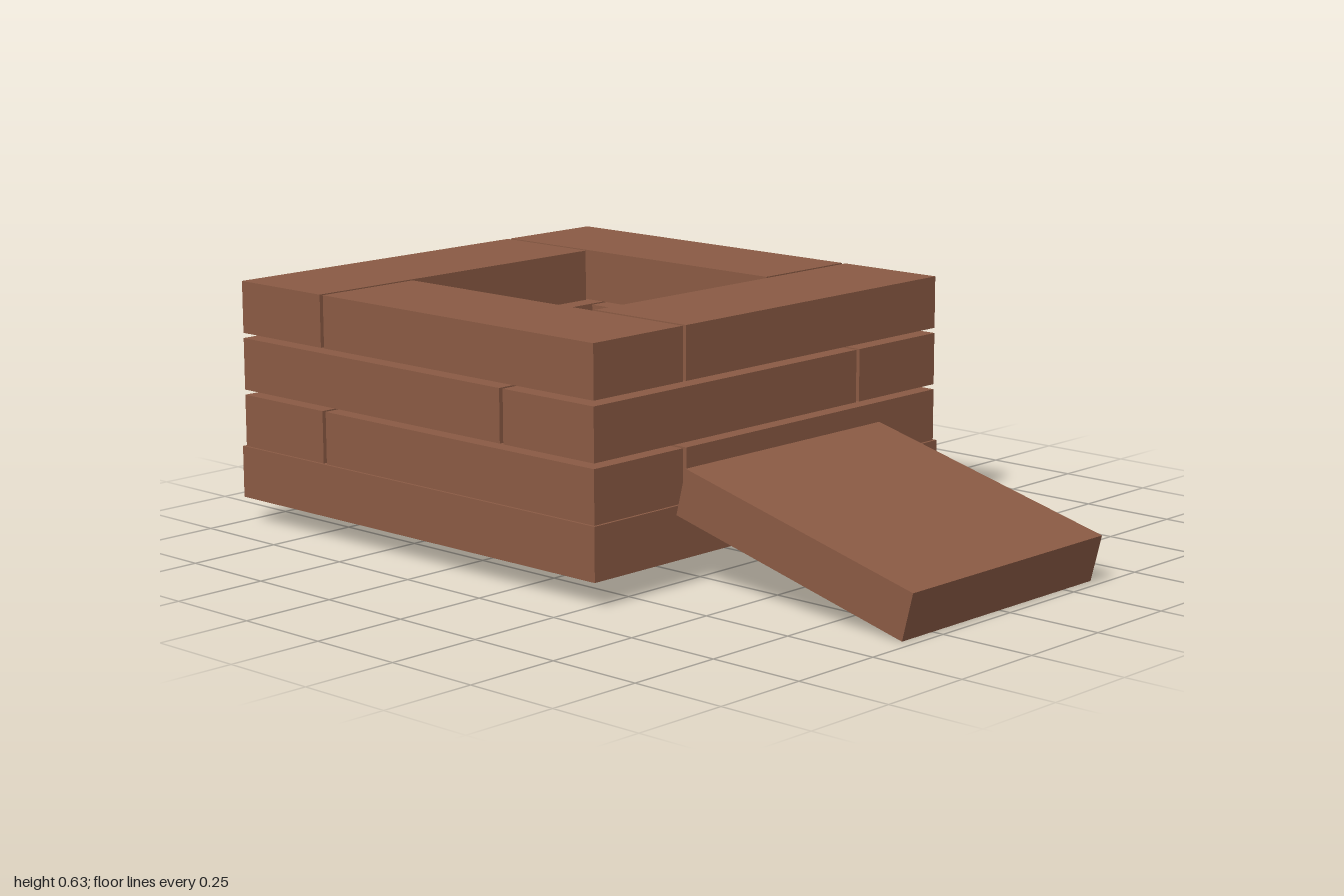
import * as THREE from 'three';

function material(name, color) {
  const m = new THREE.MeshStandardMaterial({ color });
  m.name = name;
  return m;
}

export function createModel() {
  const brick = material('brick', 0x8a5a44);
  const sand = material('sand', 0xa08d6a);
  const charcoal = material('charcoal', 0x222222);

  const model = new THREE.Group();
  model.name = 'brickFirePit';

  function box(parent, name, mat, [w, h, d], [x, y, z]) {
    const mesh = new THREE.Mesh(new THREE.BoxGeometry(w, h, d), mat);
    mesh.name = name;
    mesh.position.set(x, y, z);
    parent.add(mesh);
    return mesh;
  }

  // Square pit, set back from the ramp
  const pit = new THREE.Group();
  pit.name = 'pit';
  pit.position.z = -0.364;
  model.add(pit);

  box(pit, 'baseSlab', brick, [1.272, 0.135, 1.272], [0, 0.1325, 0]);

  // Three courses of four bricks in a pinwheel, alternating direction
  const half = 0.629, length = 0.944, width = 0.302, height = 0.135;
  const sides = ['front', 'left', 'back', 'right'];
  for (let course = 0; course < 3; course++) {
    const group = new THREE.Group();
    group.name = 'course' + (course + 1);
    group.position.y = 0.2 + height / 2 + course * 0.1485;
    pit.add(group);
    const shift = (half - length / 2) * (course % 2 ? -1 : 1);
    sides.forEach((side, i) => {
      const arm = new THREE.Group();
      arm.name = side + 'Side';
      arm.rotation.y = i * Math.PI / 2;
      group.add(arm);
      box(arm, side + 'Brick', brick, [length, height, width], [shift, 0, half - width / 2]);
    });
  }

  // Sand bed with a charcoal block lying on it
  box(pit, 'sandBed', sand, [0.636, 0.009, 0.636], [0, 0.2045, 0]);
  const block = box(pit, 'charcoalBlock', charcoal, [0.11, 0.04, 0.212], [0.04, 0.229, 0.016]);
  block.rotation.y = 0.135;

  // Sloping slab leaning on the front of the base
  const ramp = box(model, 'ramp', brick, [0.72, 0.122, 0.717], [0, 0.149, 0.637]);
  ramp.rotation.x = 0.25;

  return model;
}
